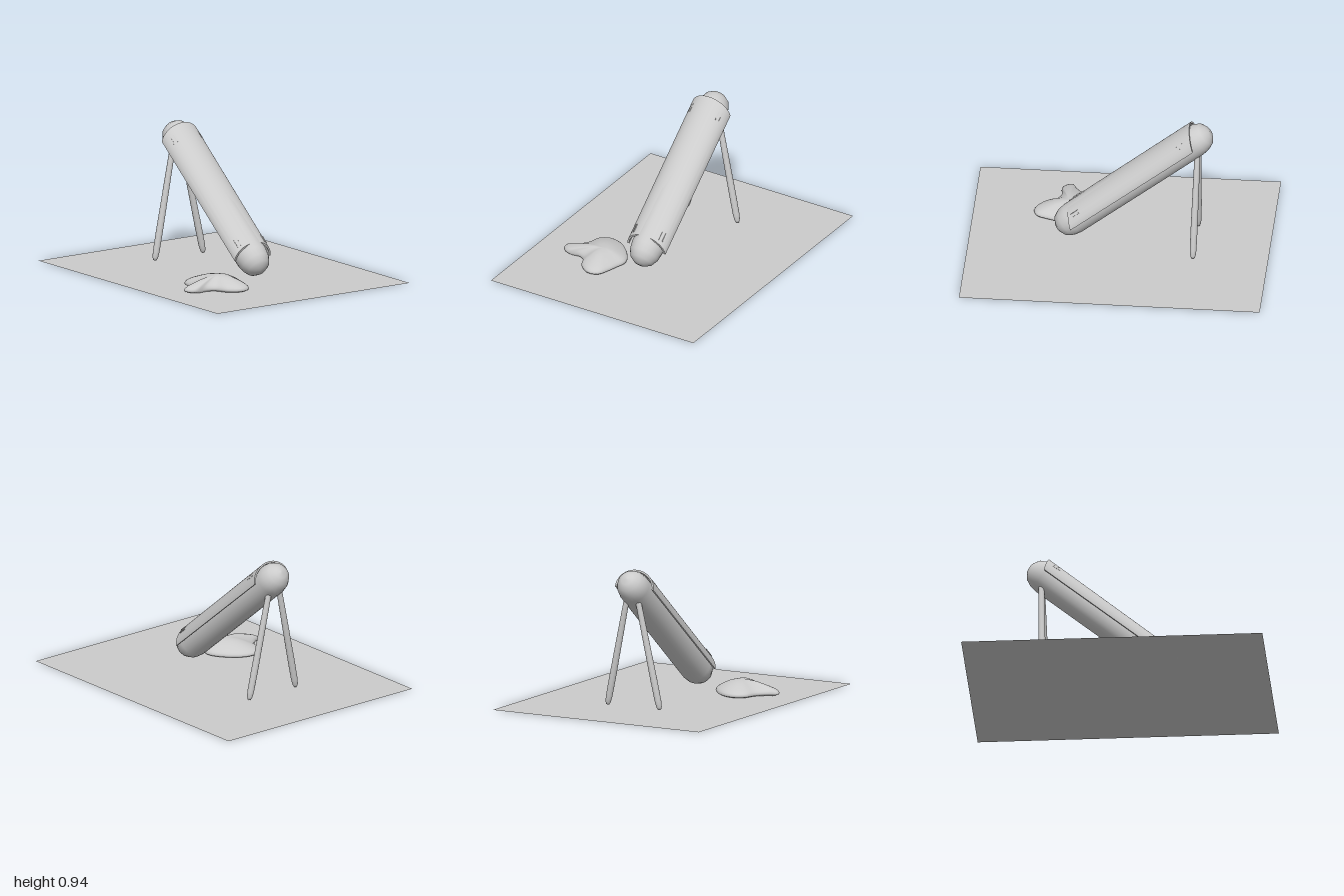
import * as THREE from 'three';
import { toCreasedNormals } from 'three/addons/utils/BufferGeometryUtils.js';

const grey = new THREE.MeshStandardMaterial({ color: 0xcccccc });
const greyDouble = new THREE.MeshStandardMaterial({ color: 0xcccccc, side: THREE.DoubleSide });

function add(parent, name, geometry, material = grey) {
  const mesh = new THREE.Mesh(geometry, material);
  mesh.name = name;
  parent.add(mesh);
  return mesh;
}

const lathe = (points, sides) =>
  new THREE.LatheGeometry(points.map(([r, y]) => new THREE.Vector2(r, y)), sides);

// Half-tube wrapped over the upper side of the body, with slanted ends
function shellGeometry() {
  const shape = new THREE.Shape();
  shape.absellipse(0, 0, 0.147, 0.108, 0, Math.PI, true);
  shape.absellipse(0, 0, 0.134, 0.097, Math.PI, 0, false);
  shape.closePath();
  const geo = new THREE.ExtrudeGeometry(shape, { depth: 1.05, steps: 8, bevelEnabled: false, curveSegments: 20 });
  geo.rotateX(-Math.PI / 2);
  const p = geo.attributes.position;
  for (let i = 0; i < p.count; i++) {
    const along = p.getY(i), z = p.getZ(i);
    p.setY(i, along - 0.15 + 0.45 * z);
    p.setZ(i, z * (0.965 + 0.08 * along));
  }
  return toCreasedNormals(geo, 0.6);
}

// Flat puddle-like blob: one outline shrunk into rings that rise to a dome
function blobGeometry() {
  const outline = [
    [-0.6, 0.365], [-0.55, 0.335], [-0.49, 0.27], [-0.46, 0.18], [-0.39, 0.137], [-0.3, 0.155],
    [-0.2, 0.24], [-0.145, 0.345], [-0.165, 0.43], [-0.185, 0.5], [-0.22, 0.578], [-0.29, 0.595],
    [-0.37, 0.54], [-0.41, 0.46], [-0.47, 0.43], [-0.55, 0.435], [-0.59, 0.405],
  ].map(([x, z]) => new THREE.Vector3(x, 0, z));
  const loop = new THREE.CatmullRomCurve3(outline, true).getPoints(64).slice(0, 64);
  const cx = -0.31, cz = 0.37, n = loop.length;
  const rings = [[0, 0.004], [0.6, 0.002], [0.9, 0.006], [0.98, 0.014], [1, 0.022], [0.97, 0.034],
    [0.9, 0.045], [0.78, 0.057], [0.6, 0.072], [0.4, 0.086], [0.2, 0.093], [0, 0.095]];
  const pos = [], index = [];
  for (const [s, y] of rings)
    for (const q of loop) pos.push(cx + (q.x - cx) * s, y, cz + (q.z - cz) * s);
  for (let r = 0; r < rings.length - 1; r++)
    for (let i = 0; i < n; i++) {
      const a = r * n + i, b = r * n + (i + 1) % n;
      index.push(a, b, a + n, b, b + n, a + n);
    }
  const geo = new THREE.BufferGeometry();
  geo.setAttribute('position', new THREE.Float32BufferAttribute(pos, 3));
  geo.setIndex(index);
  geo.computeVertexNormals();
  return geo;
}

export function createModel() {
  const model = new THREE.Group();
  model.name = 'leaningFigure';

  // Thin ground sheet
  const sheet = add(model, 'groundSheet', new THREE.PlaneGeometry(1.58, 2), greyDouble);
  sheet.rotation.x = -Math.PI / 2;
  sheet.position.y = 0.003;

  // Leaning body: local y runs up the axis, local z is its upper side
  const leaning = new THREE.Group();
  leaning.name = 'leaningBody';
  leaning.position.set(0, 0.248, 0.202);
  leaning.rotation.x = -0.887;
  model.add(leaning);
  add(leaning, 'body', lathe([
    [0, -0.27], [0.04, -0.264], [0.078, -0.238], [0.1, -0.195], [0.109, -0.14], [0.109, 0.1], [0.109, 0.6],
    [0.108, 0.9], [0.1, 0.95], [0.079, 0.995], [0.042, 1.022], [0, 1.03]], 24));
  add(leaning, 'shell', shellGeometry());

  // Short raised seams near both ends of the shell
  for (const side of [-1, 1])
    for (const along of [-0.06, 0.85])
      for (const angle of [0.62, 0.82]) {
        const seam = add(leaning, 'seam', new THREE.BoxGeometry(0.006, 0.06, 0.006));
        seam.position.set(side * 0.147 * Math.cos(angle), along, 0.109 * Math.sin(angle));
        seam.rotation.y = side * (Math.PI / 2 - angle);
      }

  // Two splayed prop legs with tapered, rounded feet
  for (const side of [-1, 1]) {
    const top = new THREE.Vector3(side * 0.035, 0.78, -0.52);
    const foot = new THREE.Vector3(side * 0.2, 0.015, -0.502);
    const dir = top.clone().sub(foot), len = dir.length();
    const leg = add(model, side > 0 ? 'leftLeg' : 'rightLeg', lathe([
      [0, 0], [0.011, 0.004], [0.018, 0.02], [0.022, 0.06], [0.023, 0.2], [0.021, 0.5],
      [0.019, len - 0.03], [0.012, len - 0.008], [0, len]], 14));
    leg.position.copy(foot);
    leg.quaternion.setFromUnitVectors(new THREE.Vector3(0, 1, 0), dir.normalize());
  }

  // Soft blob lying beside the body
  add(model, 'blob', blobGeometry(), greyDouble);
  return model;
}
